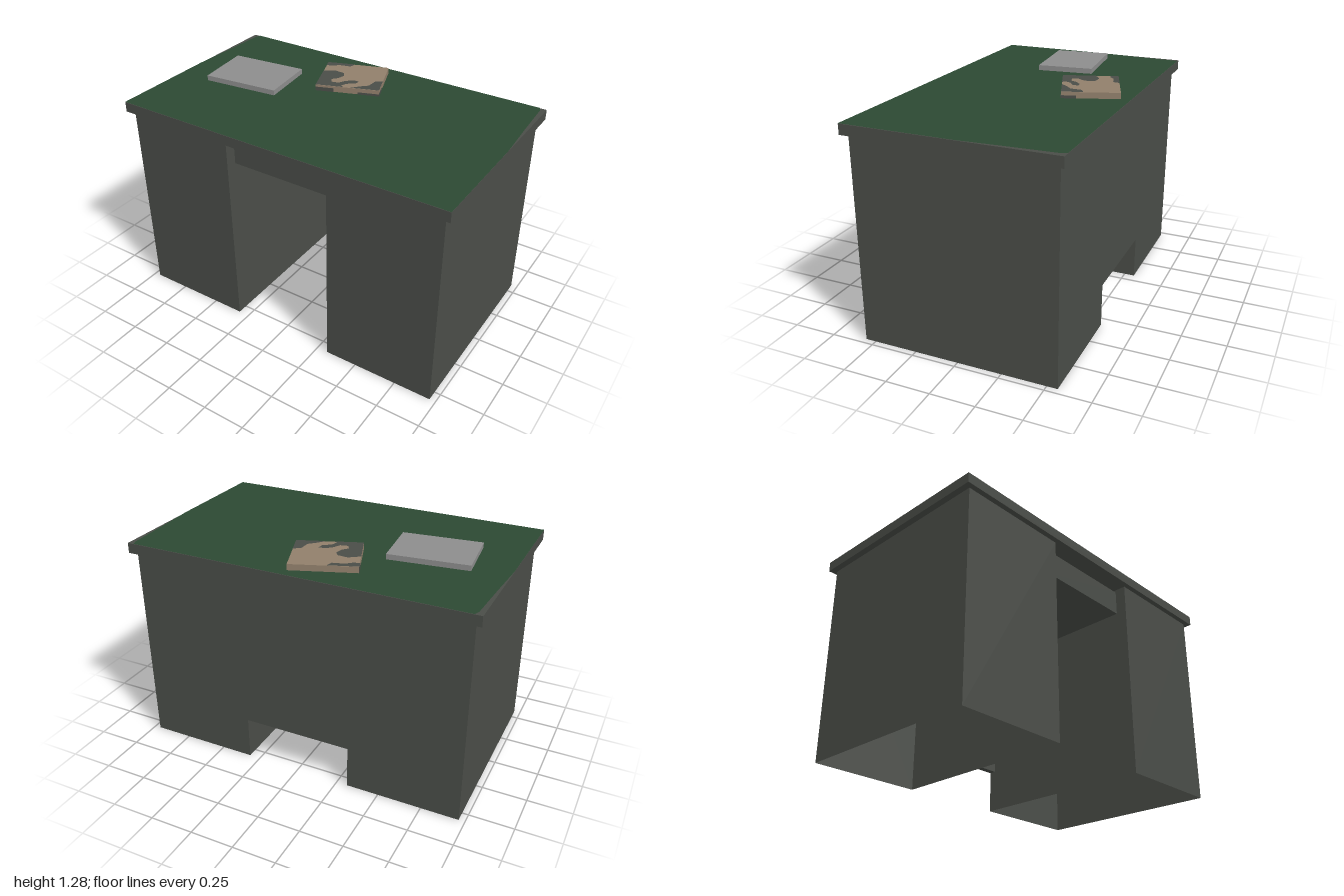
import * as THREE from 'three';

export function createModel() {
  const model = new THREE.Group();
  model.name = 'desk';

  const mat = (name, color, side = THREE.FrontSide) => {
    const m = new THREE.MeshStandardMaterial({ color, side });
    m.name = name;
    return m;
  };
  const metal = mat('grey green metal', 0x4a4d48, THREE.DoubleSide);
  const green = mat('green desk mat', 0x2c4933);
  const grey = mat('light grey', 0x8d8d8d);
  const tan = mat('tan', 0x917f6b);

  const add = (name, geometry, material, parent = model) => {
    const mesh = new THREE.Mesh(geometry, material);
    mesh.name = name;
    parent.add(mesh);
    return mesh;
  };
  // Box given by its lower and upper corners
  const box = (name, [x0, y0, z0], [x1, y1, z1], material, parent) => {
    const g = new THREE.BoxGeometry(x1 - x0, y1 - y0, z1 - z0);
    g.translate((x0 + x1) / 2, (y0 + y1) / 2, (z0 + z1) / 2);
    return add(name, g, material, parent);
  };
  // Flat upward-facing plate from [x, z] outline points
  const plate = (name, points, y, material, parent) => {
    const g = new THREE.ShapeGeometry(new THREE.Shape(points.map(([x, z]) => new THREE.Vector2(x, -z))));
    g.rotateX(-Math.PI / 2);
    g.translate(0, y, 0);
    return add(name, g, material, parent);
  };

  // Hollow pedestals, open underneath
  for (const s of [-1, 1]) {
    const pedestal = box(s > 0 ? 'leftPedestal' : 'rightPedestal',
      [s * 0.64 - 0.325, 0, -0.56], [s * 0.64 + 0.325, 1.172, 0.56], metal);
    const index = Array.from(pedestal.geometry.index.array);
    index.splice(18, 6); // drop the bottom face
    pedestal.geometry.setIndex(index);
    pedestal.geometry.clearGroups();
  }

  // Back panel and centre drawer between the pedestals
  box('backPanel', [-0.315, 0.25, -0.56], [0.315, 1.172, -0.52], metal);
  box('centreDrawer', [-0.315, 1.01, -0.52], [0.315, 1.157, 0.495], metal);

  // Desktop with its green surface, tapered at the back corners
  box('desktop', [-1, 1.172, -0.59], [1, 1.23, 0.59], metal);
  const edge = [[1, 0.59], [1, -0.05], [0.985, -0.3], [0.972, -0.56], [0.96, -0.59]];
  plate('deskMat', [...edge, ...edge.map(([x, z]) => [-x, z]).reverse()], 1.232, green);

  // Grey folder
  const folder = box('folder', [-0.222, 0, -0.162], [0.222, 0.03, 0.162], grey);
  folder.position.set(-0.573, 1.247, -0.037);
  folder.rotation.y = 0.105;

  // Patterned book
  const book = new THREE.Group();
  book.name = 'book';
  book.position.set(-0.078, 1.23, -0.322);
  book.rotation.y = 0.347;
  model.add(book);
  box('bookBody', [-0.183, 0, -0.16], [0.183, 0.036, 0.16], tan, book);

  // Dark patches on the cover, in the book's own x and z
  const patches = [
    [[-0.183, -0.16], [-0.02, -0.16], [-0.04, -0.125], [-0.11, -0.13], [-0.15, -0.112], [-0.183, -0.115]],
    [[-0.183, -0.03], [-0.115, -0.05], [-0.06, -0.025], [-0.05, 0.01], [-0.075, 0.05], [-0.11, 0.07],
      [-0.105, 0.105], [-0.06, 0.11], [-0.03, 0.08], [0.015, 0.06], [0.05, 0.07], [0.035, 0.1],
      [-0.015, 0.115], [-0.04, 0.145], [-0.02, 0.16], [-0.183, 0.16]],
    [[0.183, 0.04], [0.183, 0.16], [0.02, 0.16], [0.07, 0.13], [0.115, 0.11], [0.14, 0.05]],
  ];
  patches.forEach((p, i) => plate('coverPatch' + (i + 1), p, 0.038, metal, book));

  // Dark patches on the book's edges
  box('frontEdgePatch1', [-0.183, 0, 0.16], [-0.08, 0.024, 0.162], metal, book);
  box('frontEdgePatch2', [0.06, 0, 0.16], [0.183, 0.014, 0.162], metal, book);
  box('sideEdgePatch', [0.183, 0, 0.08], [0.185, 0.018, 0.16], metal, book);
  box('farEdgePatch', [-0.185, 0, -0.16], [-0.183, 0.036, -0.11], metal, book);

  return model;
}
